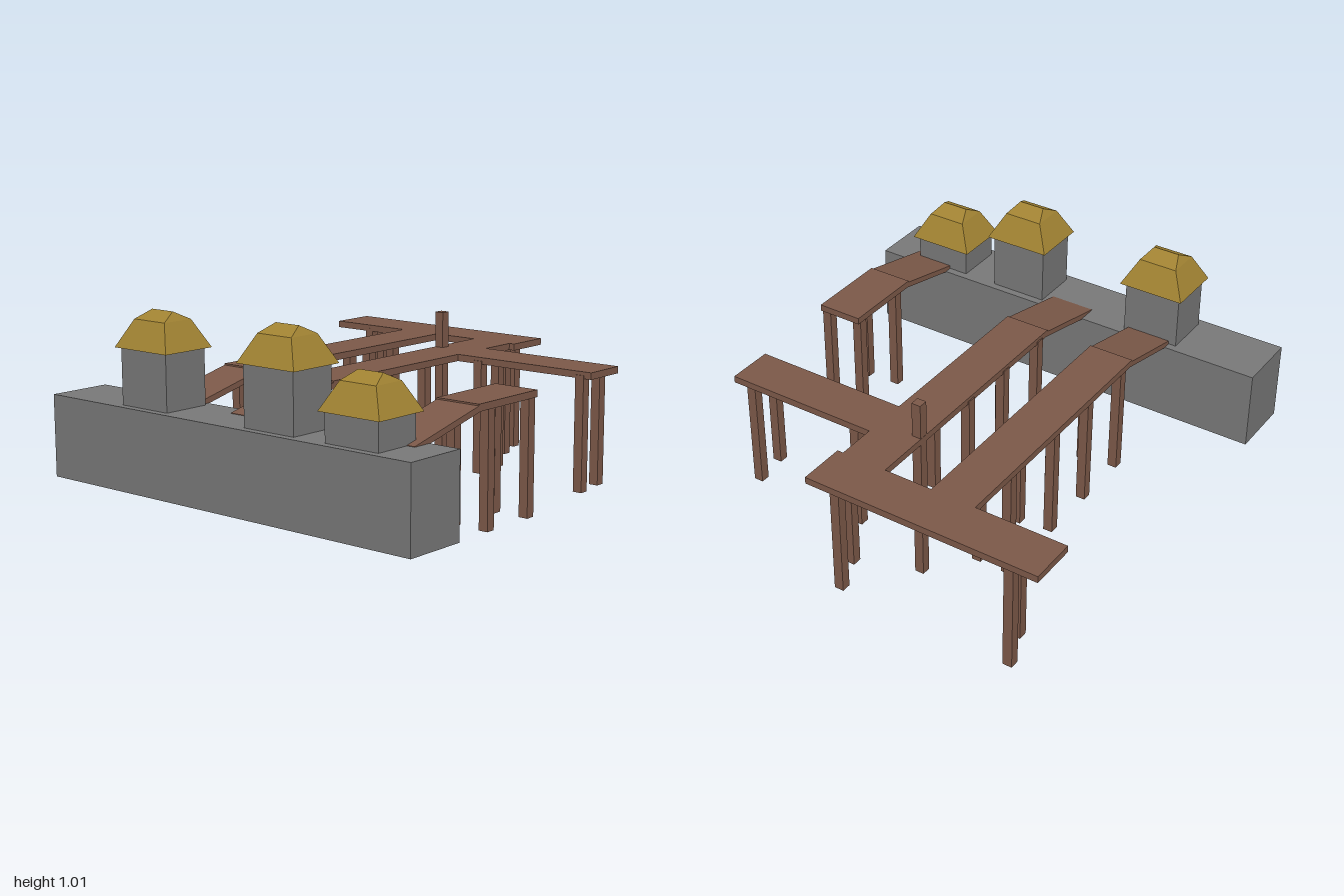
import * as THREE from 'three';
import { ConvexGeometry } from 'three/addons/geometries/ConvexGeometry.js';

export function createModel() {
  const model = new THREE.Group();
  model.name = 'harbour';

  const mat = (name, color) => {
    const m = new THREE.MeshStandardMaterial({ color });
    m.name = name;
    return m;
  };
  const stone = mat('stone grey', 0x777777);
  const wood = mat('brown wood', 0x7b5848);
  const thatch = mat('thatch yellow', 0xa08232);

  const add = (name, geometry, material) => {
    const mesh = new THREE.Mesh(geometry, material);
    mesh.name = name;
    model.add(mesh);
    return mesh;
  };
  // Box given by its limits on each axis
  const block = (name, material, x0, x1, y0, y1, z0, z1) => {
    const mesh = add(name, new THREE.BoxGeometry(x1 - x0, y1 - y0, z1 - z0), material);
    mesh.position.set((x0 + x1) / 2, (y0 + y1) / 2, (z0 + z1) / 2);
    return mesh;
  };

  // Stone quay along the shore
  block('quay', stone, -1, -0.715, 0.25, 0.605, -0.97, 0.97);

  // Huts with two-pitch hipped roofs: [centre z, eaves height]
  const roofPoints = [];
  for (const sz of [-1, 1]) {
    for (const sx of [-1, 1]) {
      roofPoints.push(new THREE.Vector3(sx * 0.128, 0, sz * 0.15));
      roofPoints.push(new THREE.Vector3(sx * 0.073, 0.116, sz * 0.088));
    }
    roofPoints.push(new THREE.Vector3(0, 0.152, sz * 0.06));
  }
  const roofGeometry = new ConvexGeometry(roofPoints);
  for (const [z, eaves] of [[0.66, 0.726], [0.243, 0.858], [-0.447, 0.844]]) {
    block('hutWalls', stone, -0.965, -0.75, 0.6, eaves + 0.005, z - 0.13, z + 0.13);
    add('hutRoof', roofGeometry, thatch).position.set(-0.855, eaves, z);
  }

  // Level decks
  const deck = (name, x0, x1, z0, z1) => block(name, wood, x0, x1, 0.676, 0.706, z0, z1);
  deck('backPier', -0.415, 0.79, -0.542, -0.338);
  deck('middlePier', -0.415, 0.79, -0.12, 0.085);
  deck('frontPier', -0.415, -0.033, 0.62, 0.827);
  deck('endPier', 0.79, 1, -0.953, 0.112);
  deck('spurPier', 0.41, 0.615, 0.085, 0.786);

  // Sloping ramps from the quay up to the decks
  const from = new THREE.Vector2(-0.8, 0.595);
  const to = new THREE.Vector2(-0.408, 0.688);
  const slope = to.clone().sub(from);
  for (const [z0, z1] of [[-0.542, -0.338], [-0.12, 0.085], [0.62, 0.827]]) {
    const ramp = add('ramp', new THREE.BoxGeometry(slope.length(), 0.025, z1 - z0), wood);
    ramp.position.set((from.x + to.x) / 2, (from.y + to.y) / 2, (z0 + z1) / 2);
    ramp.rotation.z = slope.angle();
  }

  // Square piles, centred on x and z
  const pile = (x, z, y0 = 0.185, y1 = 0.69) =>
    block('pile', wood, x - 0.021, x + 0.021, y0, y1, z - 0.021, z + 0.021);
  for (const x of [-0.35, -0.08, 0.185]) {
    pile(x, -0.518);
    pile(x + 0.025, -0.375);
    pile(x, -0.104);
    pile(x + 0.025, 0.055);
  }
  pile(0.51, -0.518);
  pile(0.51, -0.375);
  for (const x of [-0.345, -0.08]) {
    pile(x, 0.65);
    pile(x + 0.02, 0.8);
  }
  for (const z of [0.195, 0.73]) {
    pile(0.427, z);
    pile(0.583, z - 0.022);
  }
  for (const z of [-0.757, 0.045]) {
    pile(0.81, z);
    pile(0.964, z - 0.06);
  }

  // Tall mooring post through the middle pier
  pile(0.525, -0.098, 0, 0.865).name = 'mooringPost';

  return model;
}
